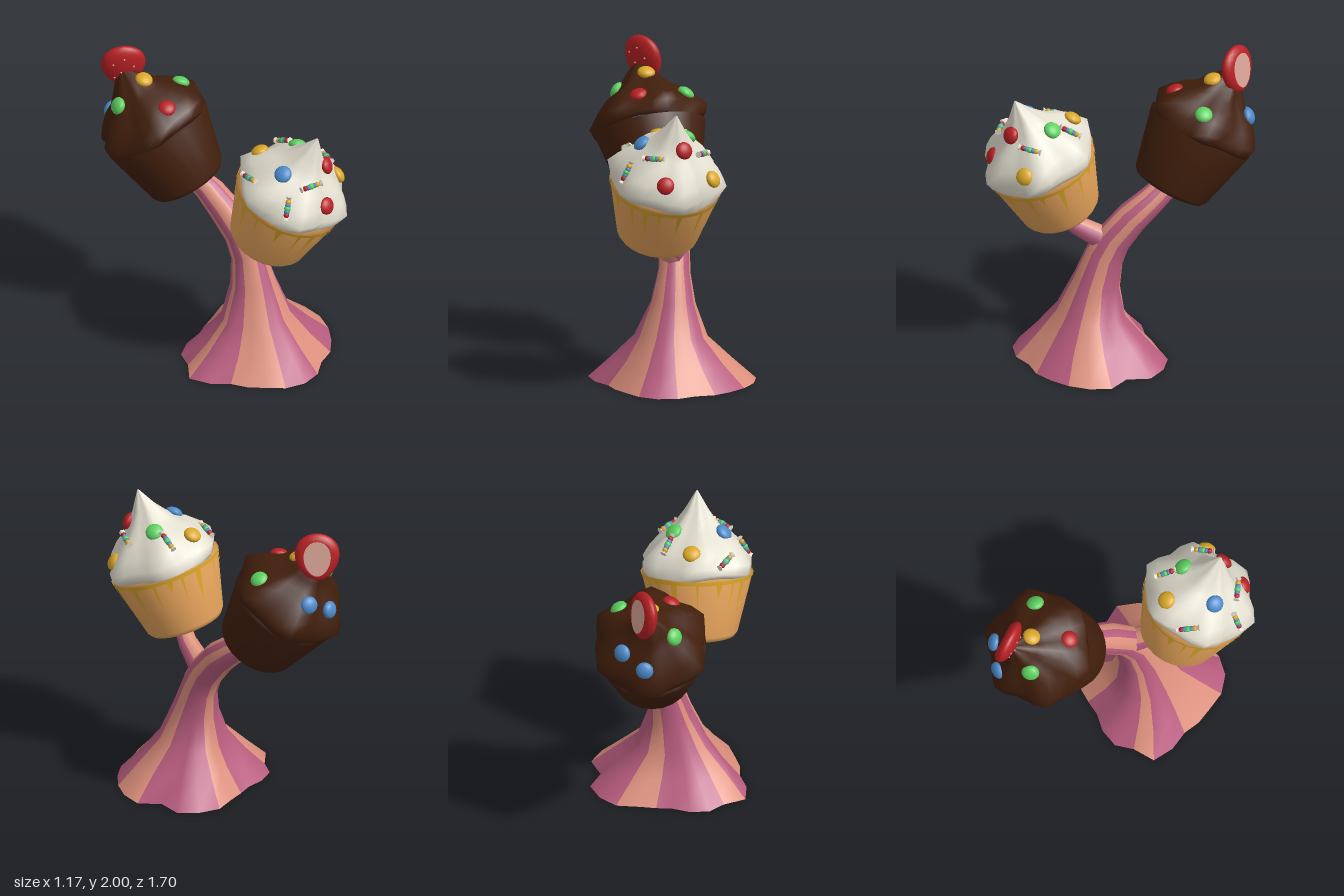
import * as THREE from 'three';

const mat = (name, color, side = THREE.FrontSide) => {
  const m = new THREE.MeshStandardMaterial({ color, side });
  m.name = name;
  return m;
};
const V = (x, y, z) => new THREE.Vector3(x, y, z);
const UP = V(0, 1, 0);
const TAU = Math.PI * 2;

export function createModel() {
  const D = THREE.DoubleSide;
  const pink = mat('pink', 0xb85c7e, D), peach = mat('peach', 0xdc8f7c, D);
  const orange = mat('waferOrange', 0xe4a25a), yellow = mat('yellow', 0xdca828, D);
  const brown = mat('chocolate', 0x421f0c, D), cream = mat('cream', 0xe2decf, D);
  const red = mat('red', 0xb82024), green = mat('green', 0x5dd05f);
  const blue = mat('blue', 0x4c8aca), flesh = mat('berryFlesh', 0xdaa596);

  const root = new THREE.Group();
  root.name = 'cupcakeTree';
  const add = (parent, name, geo, material) => {
    const m = new THREE.Mesh(geo, material);
    m.name = name;
    parent.add(m);
    return m;
  };

  // Closed rings joined into a skin; stripes gives the material index of each column
  function loft(rows, segs, point, stripes) {
    const pos = [], idx = [], geo = new THREE.BufferGeometry();
    for (let i = 0; i < rows; i++)
      for (let j = 0; j < segs; j++) pos.push(...point(i, (j / segs) * TAU, j).toArray());
    for (let j = 0; j < segs; j++) {
      const k = (j + 1) % segs;
      if (stripes) geo.addGroup(idx.length, (rows - 1) * 6, +stripes[j]);
      for (let i = 0; i < rows - 1; i++) {
        const a = i * segs + j, b = i * segs + k;
        idx.push(a, a + segs, b, b, a + segs, b + segs);
      }
    }
    geo.setAttribute('position', new THREE.Float32BufferAttribute(pos, 3));
    geo.setIndex(idx);
    geo.computeVertexNormals();
    return geo;
  }

  // Striped limb: rings of [x, y, z, radius, backward tilt, width factor]
  const limb = (name, rings, stripes, ripple) => add(root, name,
    loft(rings.length, stripes.length, (i, a, j) => {
      const [x, y, z, r, t, w = 1] = rings[i];
      const k = r * ripple(j, i), s = Math.sin(a) * k;
      return V(x + Math.cos(a) * k * w, y + s * Math.sin(t), z + s * Math.cos(t));
    }, stripes), [pink, peach]);

  // Trunk with an uneven, lobed foot, open underneath
  const foot = [.53, .51, .49, .48, .45, .49, .5, .48, .44, .43, .42, .48,
    .53, .46, .47, .43, .38, .39, .42, .5, .53, .54, .46, .54];
  const fade = [1, 1, 0.45];
  limb('trunk', [
    [.06, 0, .18, .5, 0], [.06, .14, .19, .36, 0], [.06, .29, .185, .225, .08],
    [.07, .5, .15, .152, .25, .93], [.07, .68, .1, .128, .5, .8], [.06, .8, .04, .115, .65, .85],
    [.035, .94, -.075, .105, .8], [0, 1.05, -.2, .092, .85], [-.07, 1.15, -.32, .08, .85],
  ], '100110011100100001100001', (j, i) => 1 + (foot[j] / .5 - 1) * (fade[i] || 0));
  limb('branch', [
    [.06, .765, .05, .088, -1.1], [.06, .82, .15, .076, -1.1],
    [.05, .885, .28, .064, -1.1], [.02, 1, .43, .055, -1],
  ], '01100110', () => 1);

  // Frosting profile: radius, height along the cupcake
  const profile = [[.28, .45], [.335, .415], [.348, .44], [.356, .5], [.305, .57],
    [.235, .645], [.17, .69], [.122, .75], [.075, .815], [.004, .94]];
  const lobes = (a, h) => 1 + .085 * Math.min(1, Math.max(.3, (h - .38) * 9))
    * Math.cos(6 * a + (h - .49) * 5);
  function frostRadius(h, a) {
    for (let i = 3; i < profile.length - 1; i++) {
      const [r0, h0] = profile[i], [r1, h1] = profile[i + 1];
      if (h <= h1) return (r0 + (r1 - r0) * Math.max(0, (h - h0) / (h1 - h0))) * lobes(a, h);
    }
    return 0;
  }

  function cupcake(name, base, axis, cupMat, frostMat, tip) {
    const g = new THREE.Group();
    g.name = name;
    g.position.copy(base);
    g.quaternion.setFromUnitVectors(UP, axis.normalize());
    root.add(g);
    const cup = [[0, 0], [.21, 0], [.235, .008], [.255, .035], [.352, .42], [.28, .43]];
    add(g, 'cup', new THREE.LatheGeometry(cup.map(p => new THREE.Vector2(...p)), 24), cupMat);
    add(g, 'frosting', loft(profile.length, 24, (i, a) => {
      let [r, h] = profile[i];
      if (i === profile.length - 1) h = tip;
      r *= lobes(a, h);
      if (i === 1 || i === 2) h += .018 * Math.cos(3 * a + 1.2);
      return V(Math.cos(a) * r, h, Math.sin(a) * r);
    }), frostMat);
    g.updateMatrixWorld(true);
    return g;
  }

  // Move a rough place onto the frosting and find its outward direction
  function settle(g, place) {
    const p = g.worldToLocal(V(...place));
    const h = Math.min(Math.max(p.y, .46), .8), a = Math.atan2(p.z, p.x);
    const r = frostRadius(h, a), slope = h < .5 ? .1 : h < .56 ? .6 : .95;
    return {
      p: V(Math.cos(a) * r, h, Math.sin(a) * r),
      n: V(Math.cos(a), slope, Math.sin(a)).normalize(),
    };
  }
  function drop(g, material, ...place) {
    const { p, n } = settle(g, place);
    const m = add(g, 'sugarDrop', new THREE.SphereGeometry(.057, 14, 10), material);
    m.scale.set(1, .6, 1);
    m.position.copy(p);
    m.quaternion.setFromUnitVectors(UP, n);
  }
  // Small wrapped candy: a row of beads with a flared twist at each end
  function candy(g, place, dir) {
    const { p, n } = settle(g, place);
    const c = new THREE.Group();
    c.name = 'wrappedCandy';
    const d = V(...dir).applyQuaternion(g.quaternion.clone().invert());
    d.addScaledVector(n, -d.dot(n)).normalize();
    c.quaternion.setFromUnitVectors(UP, d);
    c.position.copy(p).addScaledVector(n, .014);
    [red, blue, green, blue, yellow].forEach((m, i) => {
      add(c, 'bead', new THREE.SphereGeometry(i === 2 ? .021 : .018, 8, 6), m)
        .position.y = (i - 2) * .021;
    });
    for (const s of [-1, 1]) {
      const end = add(c, 'twist', new THREE.ConeGeometry(.022, .026, 6), cream);
      end.position.y = s * .06;
      end.rotation.x = s > 0 ? Math.PI : 0;
    }
    g.add(c);
  }

  // Vanilla cupcake
  const vanilla = cupcake('vanillaCupcake', V(0, .97, .37), V(.19, .93, .31), orange, cream, .94);
  drop(vanilla, red, .225, 1.63, .68);
  drop(vanilla, red, .135, 1.42, .81);
  drop(vanilla, blue, -.025, 1.635, .6);
  drop(vanilla, green, .2, 1.65, .44);
  drop(vanilla, yellow, .38, 1.43, .59);
  drop(vanilla, yellow, 0, 1.63, .3);
  candy(vanilla, [.06, 1.58, .73], [1, .05, .2]);
  candy(vanilla, [.34, 1.57, .56], [.4, 0, -.8]);
  candy(vanilla, [-.135, 1.475, .74], [.1, 1, .1]);
  candy(vanilla, [.19, 1.635, .27], [0, -.3, -1]);
  candy(vanilla, [-.18, 1.56, .42], [.1, 0, 1]);

  // Syrup rim and thin tapering drips on the wafer cup
  const wall = h => .255 + (h - .035) * .252 + .005;
  add(vanilla, 'syrupRim', new THREE.CylinderGeometry(wall(.42), wall(.395), .025, 24, 1, true), yellow)
    .position.y = .4075;
  const drips = [];
  for (let i = 0; i < 18; i++) {
    const a = (i + .25 * Math.sin(i * 5)) / 18 * TAU, w = .045 + .02 * Math.sin(i * 3);
    const low = .33 - .16 * Math.abs(Math.sin(i * 2.3));
    for (const [b, h] of [[a - w, .4], [a + w, .4], [a, low]])
      drips.push(Math.cos(b) * wall(h), h, Math.sin(b) * wall(h));
  }
  const dripGeo = new THREE.BufferGeometry();
  dripGeo.setAttribute('position', new THREE.Float32BufferAttribute(drips, 3));
  dripGeo.computeVertexNormals();
  add(vanilla, 'syrupDrips', dripGeo, yellow);

  // Chocolate cupcake
  const choc = cupcake('chocolateCupcake', V(-.08, 1.09, -.3), V(-.25, .85, -.47), brown, brown, .88);
  drop(choc, red, -.235, 1.71, -.335);
  drop(choc, yellow, -.23, 1.79, -.58);
  drop(choc, green, .01, 1.675, -.53);
  drop(choc, green, -.445, 1.66, -.59);
  drop(choc, blue, -.17, 1.58, -.78);
  drop(choc, blue, -.33, 1.47, -.82);

  // Halved strawberry: rounded skin in front, flat cut face behind
  const berry = new THREE.Group();
  berry.name = 'strawberry';
  berry.position.set(-.27, 1.845, -.725);
  berry.lookAt(-.27 - .5, 1.845 - .15, -.725 + .8);
  root.add(berry);
  const shape = (geo, back) => {
    const p = geo.attributes.position;
    for (let i = 0; i < p.count; i++) {
      p.setX(i, p.getX(i) * (1 + p.getY(i) * .9));
      p.setZ(i, Math.max(p.getZ(i), back));
    }
    geo.computeVertexNormals();
    return geo;
  };
  add(berry, 'skin', shape(new THREE.SphereGeometry(1, 24, 16).scale(.14, .157, .06), -.04), red);
  add(berry, 'cutFace', shape(new THREE.CircleGeometry(1, 24).rotateY(Math.PI).scale(.086, .115, 1), 0), flesh)
    .position.z = -.043;
  for (const [x, y] of [[-.07, .05], [0, .09], [.06, .03], [-.02, -.01], [.04, -.07], [-.06, -.06]])
    add(berry, 'seed', new THREE.SphereGeometry(.007, 6, 4), flesh)
      .position.set(x, y, .06 * Math.sqrt(1 - (x / .14) ** 2 - (y / .157) ** 2));

  return root;
}
